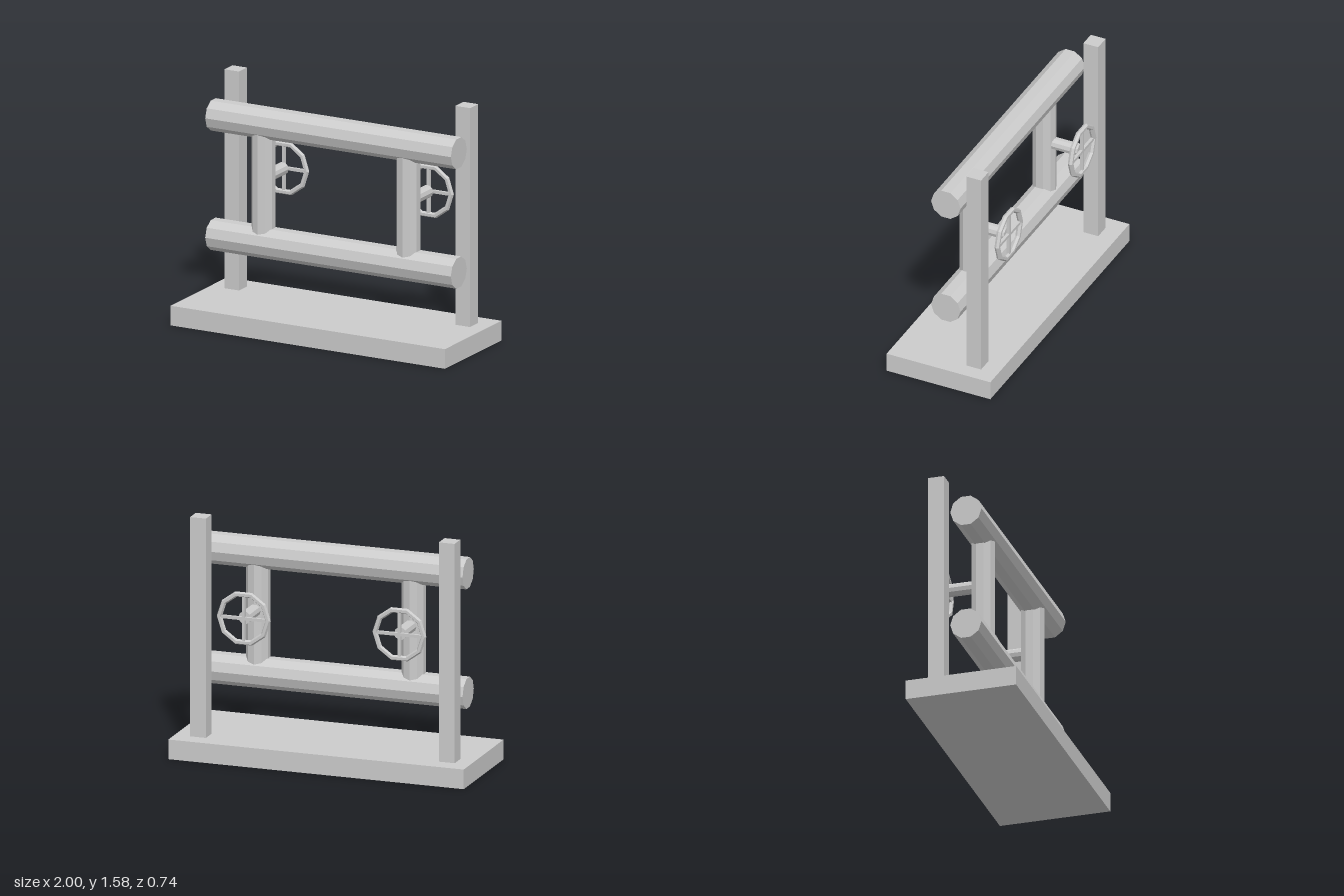
import * as THREE from 'three';

const material = new THREE.MeshStandardMaterial({ color: 0xcccccc, flatShading: true });

function addMesh(parent, name, geometry, x, y, z) {
  const mesh = new THREE.Mesh(geometry, material);
  mesh.name = name;
  mesh.position.set(x, y, z);
  parent.add(mesh);
  return mesh;
}

// Ten-sided pipe along the y axis
const pipe = (radius, length) => new THREE.CylinderGeometry(radius, radius, length, 10);

// Valve handwheel: faceted rim, crossed spokes and a stem reaching forward to the pipe
function createValve() {
  const valve = new THREE.Group();
  const wheelZ = -0.265;
  const stemLength = 0.25;
  addMesh(valve, 'valveStem', pipe(0.042, stemLength).rotateX(Math.PI / 2).rotateZ(Math.PI / 2), 0, 0, -stemLength / 2);
  addMesh(valve, 'wheelRim', new THREE.TorusGeometry(0.165, 0.018, 6, 10), 0, 0, wheelZ);
  addMesh(valve, 'wheelSpokeHorizontal', new THREE.BoxGeometry(0.33, 0.02, 0.02), 0, 0, wheelZ);
  addMesh(valve, 'wheelSpokeVertical', new THREE.BoxGeometry(0.02, 0.32, 0.02), 0, 0, wheelZ);
  return valve;
}

export function createModel() {
  const model = new THREE.Group();
  model.name = 'pipeStand';

  const lowerY = 0.528, upperY = 1.319;

  addMesh(model, 'base', new THREE.BoxGeometry(2, 0.13, 0.735), 0, 0.065, 0);

  // Long horizontal pipes
  for (const [name, y] of [['lowerPipe', lowerY], ['upperPipe', upperY]]) {
    addMesh(model, name, pipe(0.104, 1.79).rotateZ(Math.PI / 2), 0, y, 0);
  }

  // Posts, connecting pipes and valves on both sides
  for (const [side, s] of [['left', 1], ['right', -1]]) {
    addMesh(model, side + 'Post', new THREE.BoxGeometry(0.107, 1.45, 0.105), s * 0.842, 0.855, -0.198);
    addMesh(model, side + 'ConnectingPipe', pipe(0.078, upperY - lowerY), s * 0.527, (lowerY + upperY) / 2, 0);
    const valve = createValve();
    valve.name = side + 'Valve';
    valve.position.set(s * 0.527, 0.95, 0);
    model.add(valve);
  }

  return model;
}
